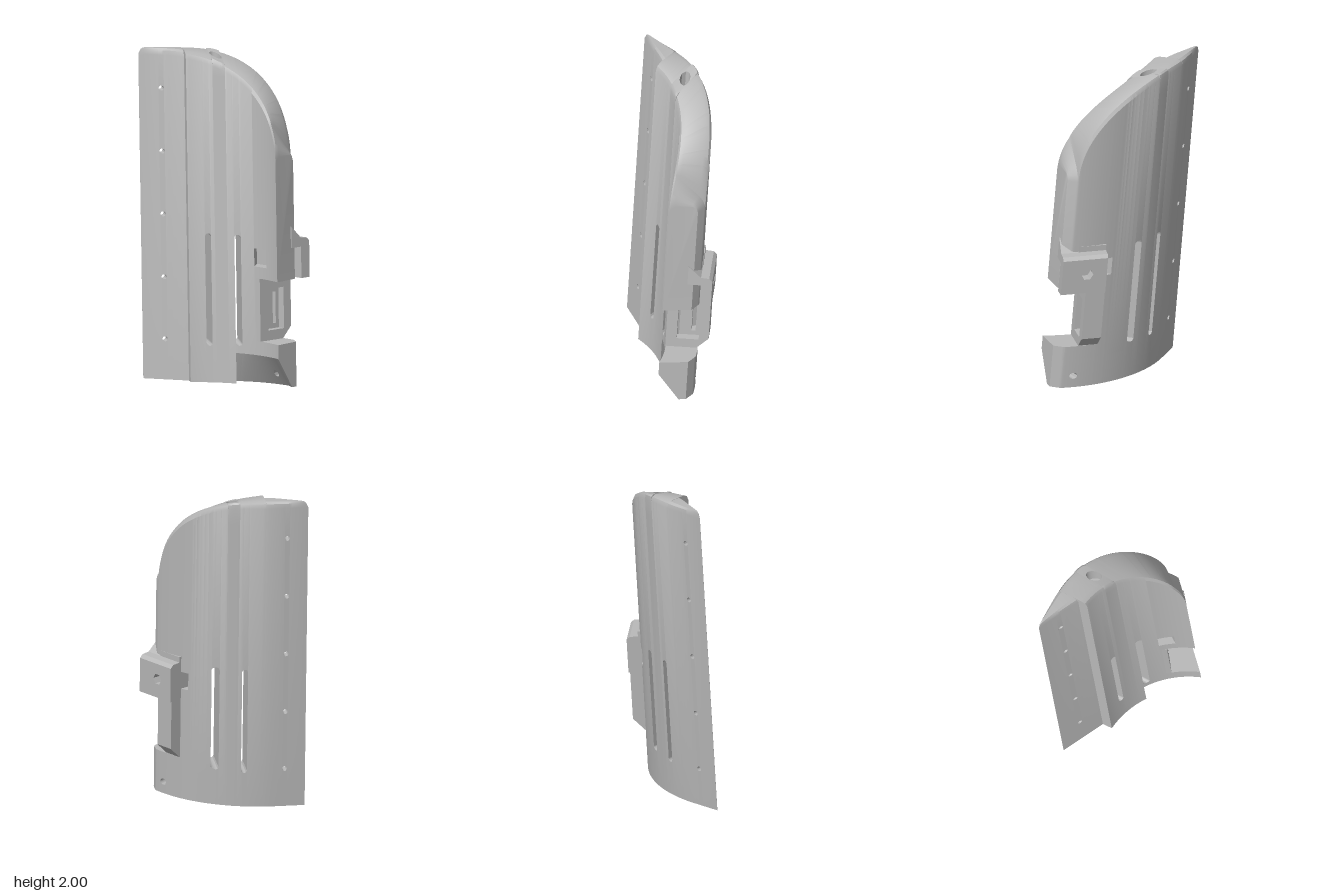
import * as THREE from 'three';
import { toCreasedNormals } from 'three/addons/utils/BufferGeometryUtils.js';

const CX = -0.3, CZ = 0.57, R_IN = 0.575, R_OUT = 0.77; // centre and radii of the curved wall
const LEAN = 0.085;                                    // backward lean per unit of height
const val = (f, x) => (typeof f === 'function' ? f(x) : f);

export function createModel() {
  const group = new THREE.Group();
  const grey = new THREE.MeshStandardMaterial({ color: 0xb8b8b8 });
  grey.name = 'plain grey';

  function add(name, geometry, parent = group) {
    const g = geometry.index ? geometry.toNonIndexed() : geometry;
    const p = g.attributes.position;
    for (let i = 0; i < p.count; i++) p.setZ(i, p.getZ(i) - LEAN * p.getY(i));
    g.deleteAttribute('normal');
    const mesh = new THREE.Mesh(toCreasedNormals(g, 0.5), grey);
    mesh.name = name;
    parent.add(mesh);
  }

  // ---- plan of the wall: matching inner and outer points for each x
  const arcZ = (x, r) => CZ - Math.sqrt(Math.max(0, r * r - (x - CX) ** 2));
  const outer = (x) => {
    const ox = x < 0.06 ? x : Math.min(0.375, 0.06 + (x - 0.06) * 1.9);
    return [ox, (ox < CX ? CZ - R_OUT : arcZ(ox, R_OUT)) + Math.max(0, x - 0.226) * 3.7];
  };
  const arcInner = (x) => [x, arcZ(x, R_IN)];
  const flangeInner = (x) => [x, -0.199 + 0.139 * (x + 0.48) / 0.255];

  // ---- rounded top outline, measured around the arc
  function topHeight(x, r, start, end, power) {
    const angle = Math.asin(Math.min(1, (x - CX) / r)) * 180 / Math.PI;
    const u = Math.min(1, Math.max(0, (angle - start) / (end - start)));
    const c = Math.max(0, 0.04 - (x + 0.48));
    return 1.4 + 0.6 * Math.sqrt(1 - u ** power) - (0.04 - Math.sqrt(0.0016 - c * c));
  }
  const topAt = (inner, x, v) => THREE.MathUtils.lerp(
    topHeight(inner(x)[0], R_IN, 0, 71.4, 1.7),
    topHeight(outer(x)[0], R_OUT, 12, 61.2, 2), v);

  // ---- closed piece of wall between xa and xb; hi = null runs to the rounded top
  function panel(inner, xa, xb, n, lo, hi, { va = 0, vb = 1, cut = null } = {}) {
    const rings = [], pos = [];
    for (let i = 0; i <= n; i++) {
      const x = xa + (xb - xa) * Math.sin((i / n) * Math.PI / 2);
      const a = val(va, x), b = val(vb, x), I = inner(x), O = outer(x);
      const point = (s, y, drop) => {
        const start = cut ? Math.max(a, cut(x) * (1 - y / 0.185)) : a;
        const v = start + (b - start) * s;
        const h = y === null ? topAt(inner, x, v) - drop : y;
        return [I[0] + (O[0] - I[0]) * v, h, I[1] + (O[1] - I[1]) * v];
      };
      const y0 = val(lo, x), y1 = hi === null ? null : val(hi, x);
      const fa = va === 0 ? 1 : 0, fb = vb === 1 ? 1 : 0;
      rings.push([
        point(0, y0, 0), point(0, y1, 0.04 * fa), point(0.06, y1, 0.012 * fa), point(0.2, y1, 0),
        point(0.8, y1, 0), point(0.94, y1, 0.012 * fb), point(1, y1, 0.04 * fb), point(1, y0, 0),
      ]);
    }
    const tri = (a, b, c) => pos.push(...a, ...b, ...c);
    for (let i = 0; i < n; i++) for (let j = 0; j < 8; j++) {
      const k = (j + 1) % 8, A = rings[i], B = rings[i + 1];
      tri(A[j], B[j], B[k]);
      tri(A[j], B[k], A[k]);
    }
    const first = rings[0], last = rings[n];
    for (let j = 1; j < 7; j++) {
      tri(first[0], first[j], first[j + 1]);
      tri(last[0], last[j + 1], last[j]);
    }
    const g = new THREE.BufferGeometry();
    g.setAttribute('position', new THREE.Float32BufferAttribute(pos, 3));
    return g;
  }
  // strip of wall made of several height spans
  function strip(name, inner, xa, xb, n, spans) {
    const part = new THREE.Group();
    part.name = name;
    group.add(part);
    for (const [lo, hi, opts] of spans) add(name + 'Panel', panel(inner, xa, xb, n, lo, hi, opts), part);
  }
  // lower and upper edge of a round-ended opening
  function opening(xa, xb, y0, y1, ry = (xb - xa) / 2) {
    const m = (xa + xb) / 2, w = (xb - xa) / 2;
    const bow = (x) => ry * Math.sqrt(Math.max(0, 1 - ((x - m) / w) ** 2));
    return [(x) => y0 + ry - bow(x), (x) => y1 - ry + bow(x)];
  }

  // ---- flat wedge flange with a row of screw holes
  strip('flangeEdge', flangeInner, -0.48, -0.37, 12, [[0, null]]);
  const holeSpans = [];
  let floor = 0;
  for (const y of [0.245, 0.62, 1.0, 1.38, 1.76]) {
    const [lo, hi] = opening(-0.37, -0.34, y - 0.015, y + 0.015);
    holeSpans.push([floor, lo]);
    floor = hi;
  }
  holeSpans.push([floor, null]);
  strip('flangeHoles', flangeInner, -0.37, -0.34, 12, holeSpans);
  strip('flangeRoot', flangeInner, -0.34, -0.225, 6, [[0, null]]);

  // ---- curved wall with two long slots and a hole in the top rim
  const slotA = opening(-0.128, -0.093, 0.22, 0.9);
  const slotB = opening(0.037, 0.072, 0.23, 0.9);
  const cut = (x) => 0.45 + 0.3 * (x - 0.037) / 0.208; // undercut of the foot
  const foot = [0, 0.185, { cut }];
  const rim = (x) => 0.2 * Math.sqrt(Math.max(0, 1 - ((x + 0.035) / 0.035) ** 2));
  strip('wallLeft', arcInner, -0.225, -0.128, 8, [[0, null]]);
  strip('wallSlotA', arcInner, -0.128, -0.093, 10, [[0, slotA[0]], [slotA[1], null]]);
  strip('wallBetween', arcInner, -0.093, -0.07, 3, [[0, null]]);
  strip('wallRimHole', arcInner, -0.07, 0, 12, [
    [0, 1.85],
    [1.85, null, { vb: (x) => 0.5 - rim(x) }],
    [1.85, null, { va: (x) => 0.5 + rim(x) }],
  ]);
  strip('wallMiddle', arcInner, 0, 0.037, 5, [[0, null]]);
  strip('wallSlotB', arcInner, 0.037, 0.072, 10, [foot, [0.185, slotB[0]], [slotB[1], null]]);
  strip('wallRight', arcInner, 0.072, 0.14, 8, [foot, [0.185, null]]);

  // ---- right part of the wall: bolt opening, clasp gap and foot
  strip('wallBolt', arcInner, 0.14, 0.165, 5, [foot, [0.185, 0.72], [0.83, null]]);
  strip('wallGap', arcInner, 0.165, 0.198, 6, [foot, [0.185, 0.27], [0.65, 0.72], [0.83, null]]);
  const screw = opening(0.198, 0.213, 0.055, 0.095, 0.02);
  strip('wallScrew', arcInner, 0.198, 0.213, 10, [
    [0, screw[0], { cut }], [screw[1], 0.185, { cut }], [0.185, 0.27], [0.65, null],
  ]);
  strip('wallEnd', arcInner, 0.213, 0.245, 18, [foot, [0.185, 0.27], [0.65, null]]);

  // ---- clasp: shapes drawn across the wall (u, y) and extruded along it (n)
  const across = new THREE.Vector3(0.829, 0, -0.559);
  const along = new THREE.Vector3(0.559, 0, 0.829);
  const up = new THREE.Vector3(0, 1, 0);
  const outline = (pts) => pts.map(([x, y]) => new THREE.Vector2(x, y));
  const rect = (x0, x1, y0, y1) => [[x0, y0], [x1, y0], [x1, y1], [x0, y1]];
  function prism(name, pts, from, to, hole = null, sideways = false) {
    const shape = new THREE.Shape(outline(pts));
    if (hole) shape.holes.push(new THREE.Path(outline(hole)));
    const g = new THREE.ExtrudeGeometry(shape, { depth: to - from, bevelEnabled: false });
    g.translate(0, 0, from);
    const m = sideways
      ? new THREE.Matrix4().makeBasis(along.clone().negate(), up, across)
      : new THREE.Matrix4().makeBasis(across, up, along);
    g.applyMatrix4(m.setPosition(0.165, 0, 0.235));
    add(name, g);
  }
  prism('claspFrame', [[0, 0.27], [0.19, 0.27], [0.26, 0.34], [0.26, 0.65], [0, 0.65]], -0.12, 0,
    rect(0.066, 0.2, 0.33, 0.58));
  prism('claspFloor', rect(0.05, 0.21, 0.32, 0.6), -0.12, -0.045, rect(0.15, 0.175, 0.36, 0.55));
  prism('claspBlock', rect(0.08, 0.2, 0.65, 0.93), -0.12, 0.05);
  prism('claspRoof', [[0.12, 0.84], [0.27, 0.84], [0.27, 0.87], [0.25, 0.89], [0.2, 0.895], [0.12, 0.97]],
    -0.12, 0.157);

  // outer wing with a hexagonal bolt pocket
  const hex = Array.from({ length: 6 }, (_, i) =>
    [0.036 * Math.cos(i * Math.PI / 3), 0.77 + 0.036 * Math.sin(i * Math.PI / 3)]);
  prism('claspWing', rect(-0.157, 0.12, 0.65, 0.87), 0.2, 0.27, hex, true);

  return group;
}
